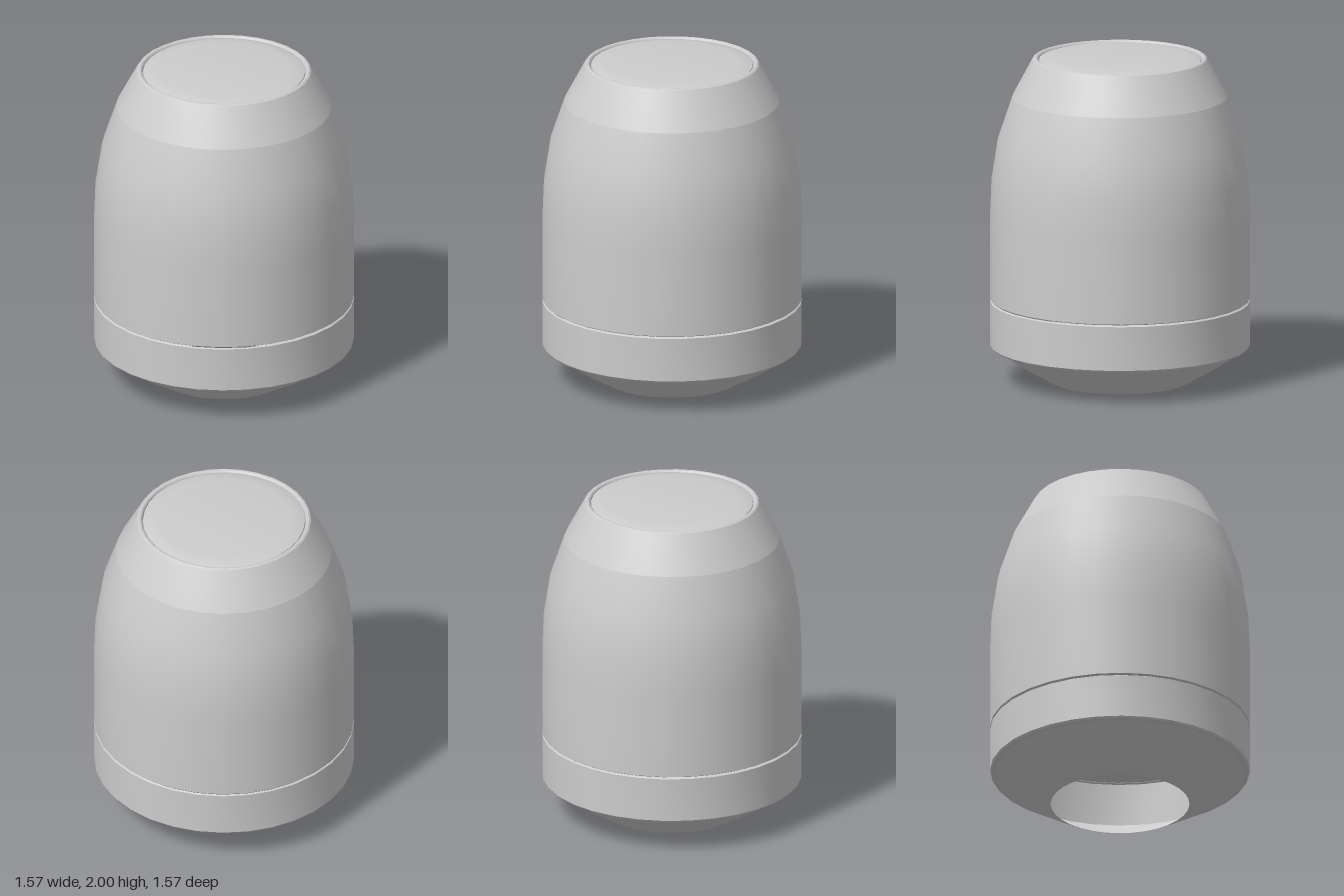
import * as THREE from 'three';
import { toCreasedNormals } from 'three/addons/utils/BufferGeometryUtils.js';

const SIDES = 32;

export function createModel() {
  const group = new THREE.Group();
  const material = new THREE.MeshStandardMaterial({ color: 0xcccccc, side: THREE.DoubleSide });

  // Turns a [radius, height] profile, listed bottom to top on the outside
  function turned(name, profile) {
    const points = profile.map(([r, y]) => new THREE.Vector2(r, y));
    const geometry = toCreasedNormals(new THREE.LatheGeometry(points, SIDES), 0.4);
    const mesh = new THREE.Mesh(geometry, material);
    mesh.name = name;
    group.add(mesh);
  }

  // Open cup at the bottom: sloped underside with a round hole, then a straight band
  turned('baseCup', [
    [0.42, 0], [0.6, 0.104], [0.755, 0.207], [0.777, 0.211], [0.786, 0.222],
    [0.786, 0.492], [0.776, 0.498],
  ]);

  // Main body, closed underneath with a small bevel at the seam
  turned('body', [
    [0, 0.5], [0.74, 0.5], [0.776, 0.502], [0.786, 0.508],
    [0.786, 1.02], [0.777, 1.25], [0.738, 1.5], [0.652, 1.755],
  ]);

  // Tapered collar with a rounded rim that turns into the recess
  turned('collar', [
    [0.652, 1.755], [0.533, 1.978], [0.526, 1.989], [0.515, 1.995],
    [0.503, 1.993], [0.495, 1.984], [0.492, 1.965],
  ]);

  // Slightly domed lid set inside the rim
  turned('lid', [
    [0.493, 1.965], [0.49, 1.983], [0.455, 1.993], [0.4, 2], [0, 2],
  ]);

  return group;
}
